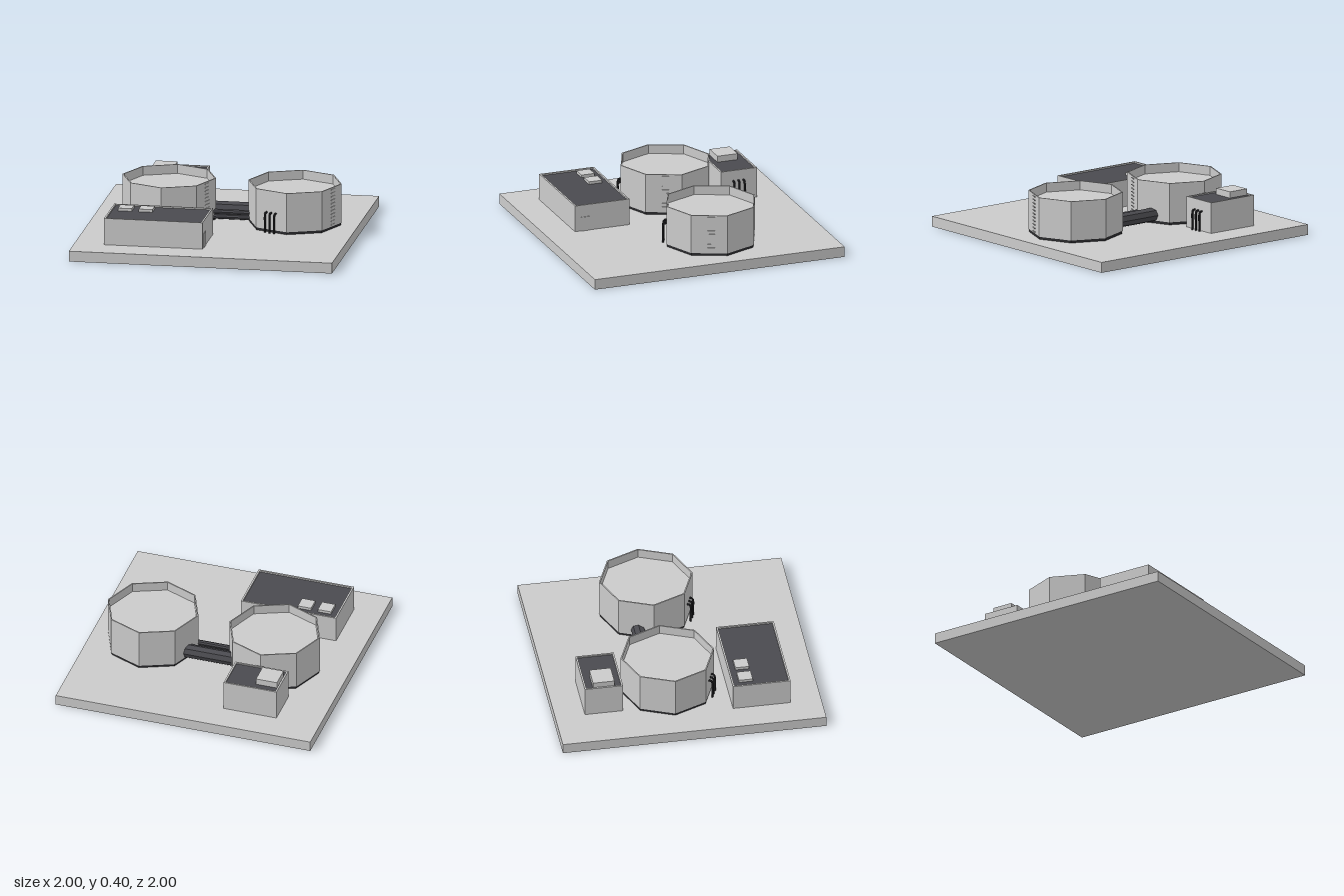
import * as THREE from 'three';

const GROUND = 0.08;
const grey = new THREE.MeshStandardMaterial({ color: 0xcccccc, flatShading: true });
const dark = new THREE.MeshStandardMaterial({ color: 0x4a4a4f, flatShading: true });
const black = new THREE.MeshStandardMaterial({ color: 0x2b2b2e, flatShading: true });

function add(parent, name, geometry, material, x = 0, y = 0, z = 0) {
  const mesh = new THREE.Mesh(geometry, material);
  mesh.name = name;
  mesh.position.set(x, y, z);
  parent.add(mesh);
  return mesh;
}

// Box given by its limits on each axis
function addBox(parent, name, material, x0, x1, y0, y1, z0, z1) {
  return add(parent, name, new THREE.BoxGeometry(x1 - x0, y1 - y0, z1 - z0), material,
    (x0 + x1) / 2, (y0 + y1) / 2, (z0 + z1) / 2);
}

// Three upright pipes bending into a wall; the wall faces local +z
function makePipes(x, z, angle) {
  const group = new THREE.Group();
  group.name = 'wallPipes';
  const path = new THREE.CatmullRomCurve3([
    [0, 0, 0.026], [0, 0.07, 0.026], [0, 0.13, 0.026], [0, 0.148, 0.018], [0, 0.152, -0.005],
  ].map((p) => new THREE.Vector3(...p)));
  const geometry = new THREE.TubeGeometry(path, 16, 0.008, 8);
  for (const offset of [-0.041, 0, 0.041]) add(group, 'wallPipe', geometry, black, offset);
  group.position.set(x, GROUND, z);
  group.rotation.y = angle;
  return group;
}

// Eight-sided open tank with a recessed top, dark foot, ladder and pipes
function makeTank(x, z) {
  const R = 0.355;
  const apothem = R * Math.cos(Math.PI / 8);
  const tank = new THREE.Group();
  tank.name = 'tank';
  const profile = [[R - 0.008, 0.098], [R, 0.1], [R, 0.4], [R - 0.01, 0.4], [R - 0.01, 0.33], [0, 0.33]]
    .map((p) => new THREE.Vector2(...p));
  add(tank, 'tankWall', new THREE.LatheGeometry(profile, 8), grey);
  add(tank, 'tankFoot', new THREE.CylinderGeometry(R - 0.006, R - 0.006, 0.02, 8), black, 0, GROUND + 0.01);

  // ladder on the facet between +x and +z
  const ladder = new THREE.Group();
  ladder.name = 'ladder';
  const rung = new THREE.BoxGeometry(0.055, 0.007, 0.008);
  for (let i = 0; i < 11; i++) add(ladder, 'rung', rung, grey, 0, 0.115 + i * 0.027, 0);
  const a = Math.PI * 3 / 8;
  ladder.rotation.y = a;
  ladder.position.set(Math.sin(a) * apothem + 0.005, 0, Math.cos(a) * apothem - 0.012);
  tank.add(ladder);

  const b = -Math.PI / 8;
  tank.add(makePipes(Math.sin(b) * apothem, Math.cos(b) * apothem, b));
  tank.position.set(x, 0, z);
  return tank;
}

// Rectangular building with a dark roof inside a thin parapet
function makeBuilding(name, x0, x1, z0, z1, top, depth) {
  const group = new THREE.Group();
  group.name = name;
  const rim = 0.013;
  const roofY = top - depth;
  addBox(group, 'walls', grey, x0, x1, GROUND, roofY, z0, z1);
  addBox(group, 'roof', dark, x0 + rim, x1 - rim, roofY - 0.005, roofY + 0.003, z0 + rim, z1 - rim);
  const rect = (path, w, h) => path.moveTo(-w, -h).lineTo(w, -h).lineTo(w, h).lineTo(-w, h).closePath();
  const w = (x1 - x0) / 2, h = (z1 - z0) / 2;
  const shape = rect(new THREE.Shape(), w, h);
  shape.holes.push(rect(new THREE.Path(), w - rim, h - rim));
  const parapet = new THREE.ExtrudeGeometry(shape, { depth, bevelEnabled: false });
  parapet.rotateX(-Math.PI / 2);
  add(group, 'parapet', parapet, grey, (x0 + x1) / 2, roofY, (z0 + z1) / 2);
  return group;
}

// Octagonal pipe lying along x
function addCrossPipe(parent, name, x0, x1, y, z, r) {
  const geometry = new THREE.CylinderGeometry(r, r, x1 - x0, 8);
  geometry.rotateZ(Math.PI / 2);
  add(parent, name, geometry, dark, (x0 + x1) / 2, y, z);
}

export function createModel() {
  const model = new THREE.Group();
  model.name = 'tankStation';

  addBox(model, 'groundSlab', grey, -1, 1, 0, GROUND, -1, 1);

  model.add(makeTank(-0.435, -0.11), makeTank(0.52, -0.11));

  // pipes joining the two tanks
  addCrossPipe(model, 'mainPipe', -0.18, 0.26, 0.143, -0.218, 0.053);
  addCrossPipe(model, 'upperThinPipe', -0.1, 0.18, 0.147, -0.095, 0.02);
  addCrossPipe(model, 'lowerThinPipe', -0.1, 0.18, 0.11, -0.095, 0.02);

  // long front building with two roof units and a side door
  const hall = makeBuilding('frontBuilding', -0.775, -0.026, 0.33, 0.767, 0.284, 0.014);
  for (const x of [-0.717, -0.56]) addBox(hall, 'roofUnit', grey, x, x + 0.104, 0.265, 0.294, 0.385, 0.49);
  addBox(hall, 'door', grey, -0.03, -0.021, GROUND, 0.19, 0.645, 0.72);
  model.add(hall);

  // small back building with one roof unit and pipes on its side
  const shed = makeBuilding('backBuilding', -0.662, -0.246, -0.775, -0.485, 0.315, 0.012);
  addBox(shed, 'roofUnit', grey, -0.645, -0.48, 0.3, 0.354, -0.71, -0.548);
  shed.add(makePipes(-0.246, -0.626, Math.PI / 2));
  model.add(shed);

  return model;
}
